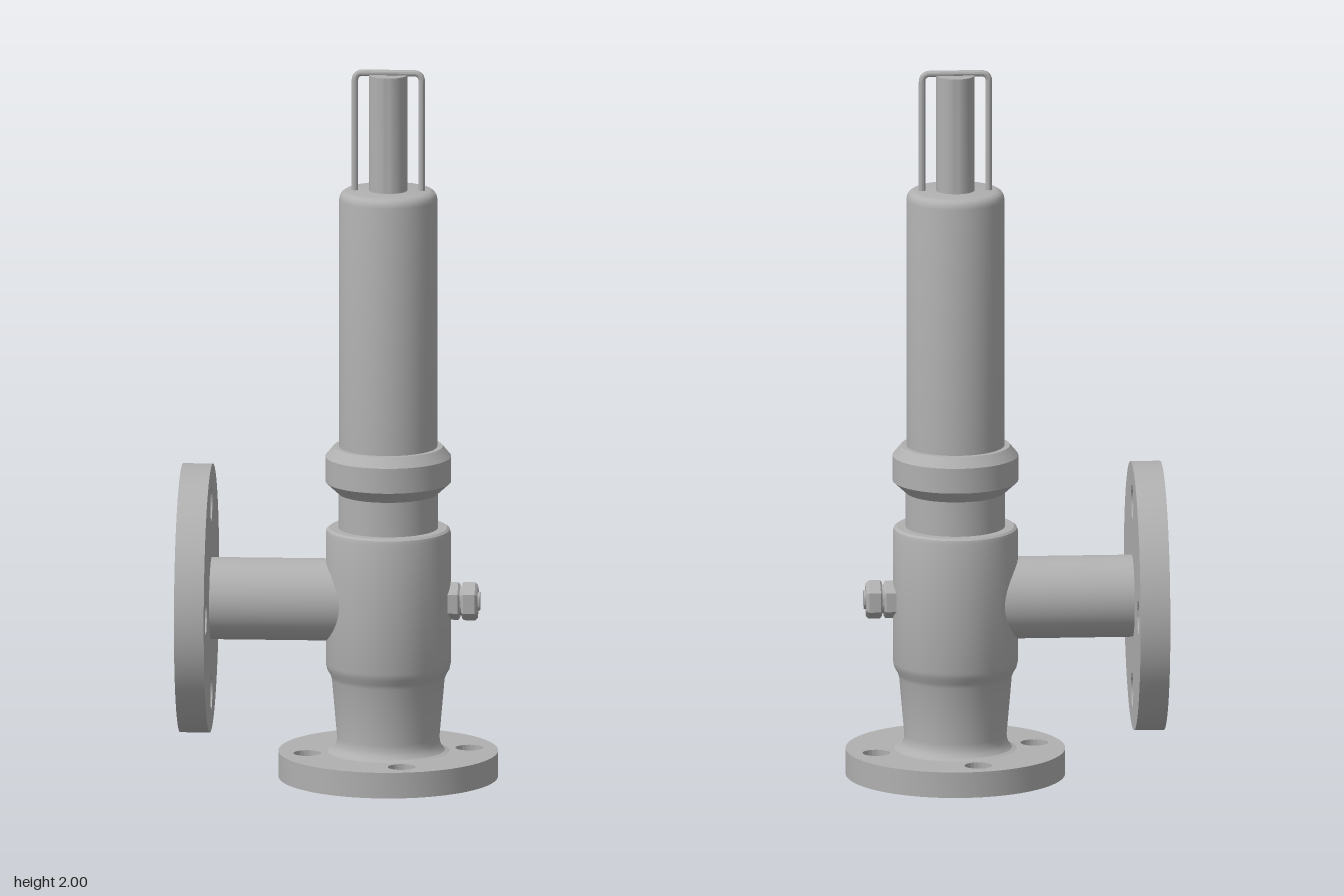
import * as THREE from 'three';
import { toCreasedNormals } from 'three/addons/utils/BufferGeometryUtils.js';

const steel = new THREE.MeshStandardMaterial({ color: 0xb0b0b0 });
steel.name = 'grey steel';

function part(name, geometry, parent) {
  const mesh = new THREE.Mesh(toCreasedNormals(geometry, 0.45), steel);
  mesh.name = name;
  parent.add(mesh);
  return mesh;
}

// Solid of revolution around y from [radius, height] pairs
function turn(profile, sides = 64) {
  return new THREE.LatheGeometry(profile.map(([r, y]) => new THREE.Vector2(r, y)), sides);
}

// Ring with four bolt holes, extruded along z
function flange(radius, inner, boltCircle, holeRadius, depth, startAngle) {
  const shape = new THREE.Shape().absarc(0, 0, radius, 0, Math.PI * 2, false);
  const hole = (x, y, r) => shape.holes.push(new THREE.Path().absarc(x, y, r, 0, Math.PI * 2, true));
  hole(0, 0, inner);
  for (let i = 0; i < 4; i++) {
    const a = startAngle + i * Math.PI / 2;
    hole(boltCircle * Math.cos(a), boltCircle * Math.sin(a), holeRadius);
  }
  return new THREE.ExtrudeGeometry(shape, { depth, bevelEnabled: false, curveSegments: 40 });
}

export function createModel() {
  const model = new THREE.Group();
  model.name = 'safetyValve';

  // Local +z is the outlet direction
  const valve = new THREE.Group();
  valve.name = 'valve';
  valve.position.set(0.18, 0, -0.18);
  valve.rotation.y = -Math.PI / 4;
  model.add(valve);

  // Inlet flange
  part('inletFlange', flange(0.302, 0.12, 0.226, 0.038, 0.072, -0.22).rotateX(Math.PI / 2), valve)
    .position.y = 0.088;

  // Body with inlet bore, raised face, tapered neck and barrel
  part('body', turn([
    [0, 0.4], [0.08, 0.4], [0.08, 0], [0.178, 0], [0.178, 0.03], [0.168, 0.08],
    [0.168, 0.088], [0.156, 0.092], [0.147, 0.101], [0.142, 0.115], [0.141, 0.13],
    [0.155, 0.29], [0.159, 0.303], [0.168, 0.318], [0.172, 0.335],
    [0.172, 0.7], [0.169, 0.71], [0.162, 0.715], [0, 0.715],
  ]), valve);

  // Upper neck and collar
  part('collar', turn([
    [0, 0.7], [0.137, 0.7], [0.137, 0.812], [0.173, 0.845], [0.173, 0.915],
    [0.15, 0.943], [0, 0.943],
  ]), valve);

  // Spring bonnet
  part('bonnet', turn([
    [0, 0.93], [0.135, 0.93], [0.135, 1.637], [0.133, 1.647], [0.128, 1.655],
    [0.121, 1.66], [0.112, 1.662], [0, 1.662],
  ]), valve);

  part('spindle', turn([[0, 1.65], [0.053, 1.65], [0.053, 1.986], [0, 1.986]], 40), valve);

  // Bent wire hoop over the spindle
  const v = (y, z) => new THREE.Vector3(0, y, z);
  const wire = new THREE.CurvePath();
  const half = 0.092, top = 1.991, bend = 0.022;
  wire.add(new THREE.LineCurve3(v(1.65, -half), v(top - bend, -half)));
  wire.add(new THREE.QuadraticBezierCurve3(v(top - bend, -half), v(top, -half), v(top, -half + bend)));
  wire.add(new THREE.LineCurve3(v(top, -half + bend), v(top, half - bend)));
  wire.add(new THREE.QuadraticBezierCurve3(v(top, half - bend), v(top, half), v(top - bend, half)));
  wire.add(new THREE.LineCurve3(v(top - bend, half), v(1.65, half)));
  part('wireHoop', new THREE.TubeGeometry(wire, 120, 0.009, 12), valve);

  // Outlet pipe with raised face and bore
  const outlet = new THREE.Group();
  outlet.name = 'outlet';
  outlet.position.y = 0.51;
  valve.add(outlet);
  part('outletPipe', turn([
    [0, 0.05], [0.113, 0.05], [0.113, 0.53], [0.207, 0.53], [0.207, 0.577],
    [0.068, 0.577], [0.068, 0.2], [0, 0.2],
  ]).rotateX(Math.PI / 2), outlet);
  part('outletFlange', flange(0.37, 0.1, 0.265, 0.047, 0.082, 0), outlet).position.z = 0.487;

  // Hexagonal drain plug on the side away from the outlet
  const plug = new THREE.Group();
  plug.name = 'drainPlug';
  plug.position.y = 0.51;
  valve.add(plug);
  const backward = (geometry) => geometry.rotateX(-Math.PI / 2);
  part('plugSeat', backward(turn([[0, 0.15], [0.053, 0.15], [0.053, 0.193], [0.047, 0.198], [0, 0.198]], 6)), plug);
  part('plugStem', backward(turn([[0, 0.15], [0.04, 0.15], [0.04, 0.21], [0, 0.21]], 32)), plug);
  part('plugNut', backward(turn([[0, 0.203], [0.048, 0.203], [0.054, 0.208], [0.054, 0.24], [0.046, 0.247], [0, 0.247]], 6)), plug);
  part('plugTip', backward(turn([[0, 0.24], [0.026, 0.24], [0.026, 0.253], [0, 0.253]], 32)), plug);

  return model;
}
